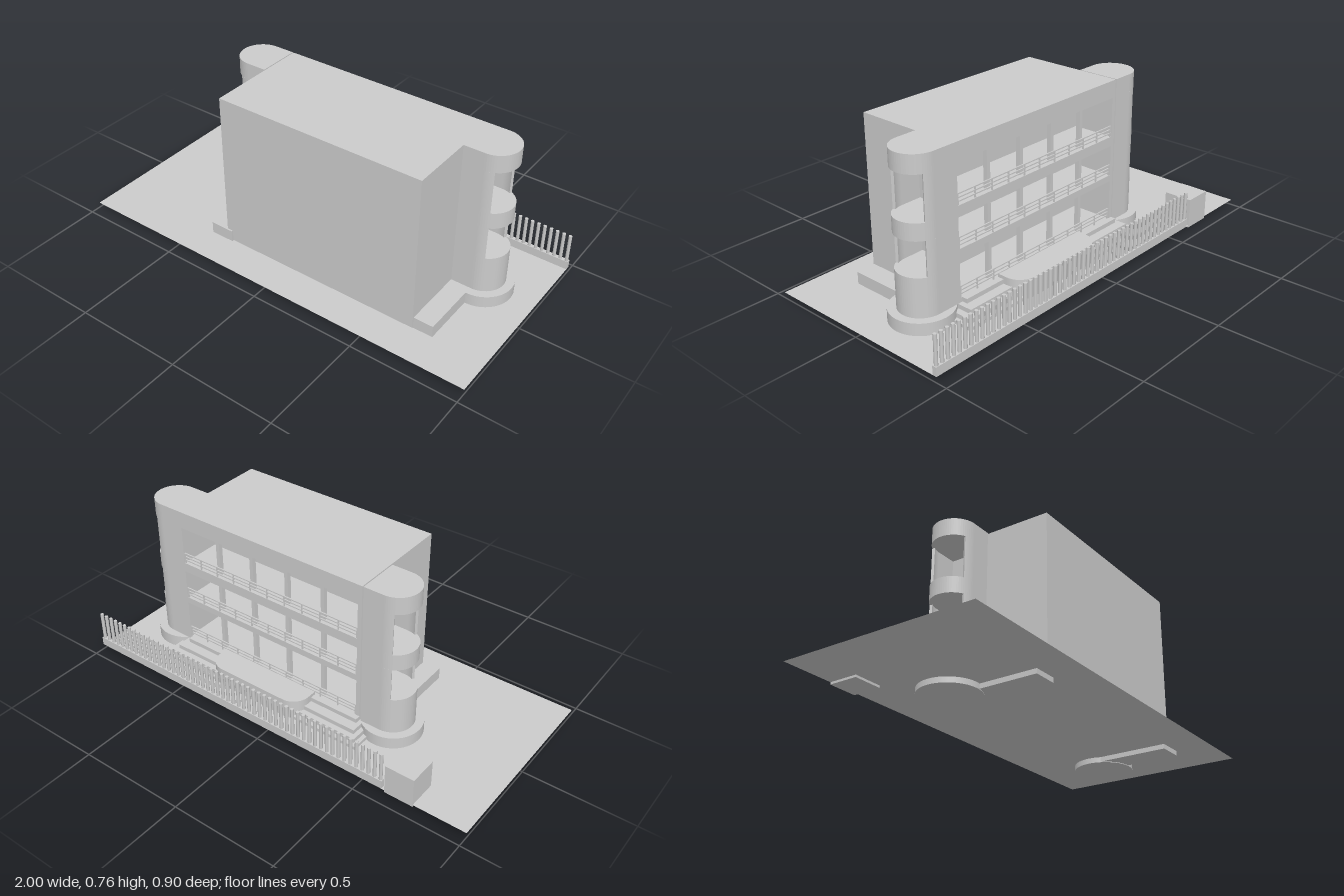
import * as THREE from 'three';

const mat = new THREE.MeshStandardMaterial({ color: 0xcccccc });
const groundMat = new THREE.MeshStandardMaterial({ color: 0xcccccc, side: THREE.DoubleSide });

const CX = 0.1625;      // centre line of the building
const BACK = -0.215;    // window facade
const GROUND = 0.025;

function add(parent, name, geometry, material = mat) {
  const mesh = new THREE.Mesh(geometry, material);
  mesh.name = name;
  parent.add(mesh);
  return mesh;
}

// Box given by its limits
function box(parent, name, x0, x1, y0, y1, z0, z1) {
  const g = new THREE.BoxGeometry(x1 - x0, y1 - y0, z1 - z0);
  g.translate((x0 + x1) / 2, (y0 + y1) / 2, (z0 + z1) / 2);
  return add(parent, name, g);
}

// Plan shape (x, -z) raised from y0 to y1
function raise(parent, name, shape, y0, y1) {
  const g = new THREE.ExtrudeGeometry(shape, { depth: y1 - y0, bevelEnabled: false, curveSegments: 16 });
  g.rotateX(-Math.PI / 2);
  g.translate(0, y0, 0);
  return add(parent, name, g);
}

// Round-ended tower with two wrap-around openings, pointing to +x
function createTower() {
  const tower = new THREE.Group();
  const r = 0.1, inner = 0.088, root = -0.095, cut = Math.acos(0.45), q = Math.PI / 2;
  const band = new THREE.Shape();
  band.moveTo(root, -r);
  band.lineTo(0, -r);
  band.absarc(0, 0, r, -q, q, false);
  band.lineTo(root, r);
  for (const [y0, y1] of [[GROUND, 0.255], [0.41, 0.485], [0.68, 0.76]]) {
    raise(tower, 'towerBand', band, y0, y1);
  }
  for (const s of [-1, 1]) {
    const wall = new THREE.Shape();
    wall.moveTo(root, s * r);
    wall.lineTo(0, s * r);
    wall.absarc(0, 0, r, s * q, s * cut, s > 0);
    wall.absarc(0, 0, inner, s * cut, s * q, s < 0);
    wall.lineTo(root, s * inner);
    for (const [y0, y1] of [[0.255, 0.41], [0.485, 0.68]]) raise(tower, 'towerWall', wall, y0, y1);
  }
  // round plinth
  const plinth = new THREE.CylinderGeometry(0.138, 0.138, 0.08, 40);
  plinth.translate(0, 0.04, 0);
  add(tower, 'towerPlinth', plinth);
  return tower;
}

// Open facade: spandrels, end walls, columns and railings
function createFacade() {
  const facade = new THREE.Group();
  const x0 = -0.33, x1 = 0.66, inside = -0.01;
  for (const [y0, y1] of [[GROUND, 0.1], [0.285, 0.315], [0.455, 0.5], [0.68, 0.76]]) {
    box(facade, 'floorBand', x0, x1, y0, y1, BACK, inside);
  }
  box(facade, 'endWallRight', x0, x0 + 0.02, GROUND, 0.76, BACK, inside);
  box(facade, 'endWallLeft', x1 - 0.02, x1, GROUND, 0.76, BACK, inside);
  for (const [y0, y1] of [[0.1, 0.285], [0.315, 0.455], [0.5, 0.68]]) {
    for (let i = 1; i < 5; i++) {
      const x = x0 + 0.02 + i * 0.19;
      box(facade, 'column', x - 0.009, x + 0.009, y0, y1, BACK + 0.02, BACK + 0.04);
    }
    for (let k = 1; k <= 3; k++) {
      const y = y0 + k * 0.016;
      box(facade, 'rail', x0 + 0.02, x1 - 0.02, y - 0.0025, y + 0.0025, BACK + 0.002, BACK + 0.008);
    }
    for (let i = 0; i <= 10; i++) {
      const x = x0 + 0.024 + i * 0.0942;
      box(facade, 'railPost', x - 0.0025, x + 0.0025, y0, y0 + 0.05, BACK + 0.002, BACK + 0.008);
    }
  }
  return facade;
}

// Stepped terrace with a rounded porch in the middle
function createTerrace() {
  const terrace = new THREE.Group();
  const steps = [[-0.39, 0.705, -0.33], [-0.37, 0.685, -0.31], [-0.35, 0.655, -0.285], [-0.33, 0.63, -0.24]];
  steps.forEach(([x0, x1, z], i) => {
    box(terrace, 'step', x0, x1, GROUND, 0.04 + i * 0.02, z, BACK + 0.005);
  });
  const a = -0.09, b = 0.42, back = 0.338, r = 0.08;
  const porch = new THREE.Shape();
  porch.moveTo(a, 0.21);
  porch.lineTo(b, 0.21);
  porch.lineTo(b, back - r);
  porch.absarc(b - r, back - r, r, 0, Math.PI / 2, false);
  porch.absarc(a + r, back - r, r, Math.PI / 2, Math.PI, false);
  raise(terrace, 'porch', porch, GROUND, 0.115);
  return terrace;
}

// Low wall with a row of pickets
function createFence() {
  const fence = new THREE.Group();
  box(fence, 'fenceBase', -0.605, 1, GROUND, 0.065, -0.45, -0.43);
  const picket = new THREE.CylinderGeometry(0.008, 0.008, 0.135, 8);
  const count = 54;
  for (let i = 0; i < count; i++) {
    const x = -0.595 + (i * 1.585) / (count - 1);
    add(fence, 'picket', picket).position.set(x, 0.1315, -0.44);
  }
  return fence;
}

export function createModel() {
  const model = new THREE.Group();
  model.name = 'building';

  const plane = new THREE.PlaneGeometry(2, 0.9);
  plane.rotateX(-Math.PI / 2);
  add(model, 'ground', plane, groundMat).position.y = GROUND;

  box(model, 'mainBlock', -0.33, 0.66, GROUND + 0.002, 0.76, -0.015, 0.285);

  // towers at both ends
  for (const s of [-1, 1]) {
    const tower = createTower();
    tower.name = s > 0 ? 'leftTower' : 'rightTower';
    tower.position.set(CX + s * 0.5925, 0, -0.115);
    if (s < 0) tower.rotation.y = Math.PI;
    model.add(tower);
  }
  // kerbs running forward from the plinths
  box(model, 'rightKerb', -0.415, -0.3, 0.003, 0.08, -0.1, 0.293);
  box(model, 'leftKerb', 0.63, 0.752, 0.003, 0.08, -0.1, 0.28);

  const parts = { facade: createFacade(), terrace: createTerrace(), fence: createFence() };
  for (const [name, part] of Object.entries(parts)) {
    part.name = name;
    model.add(part);
  }

  box(model, 'gateBlock', -0.755, -0.62, 0.015, 0.155, -0.45, -0.315);
  return model;
}
